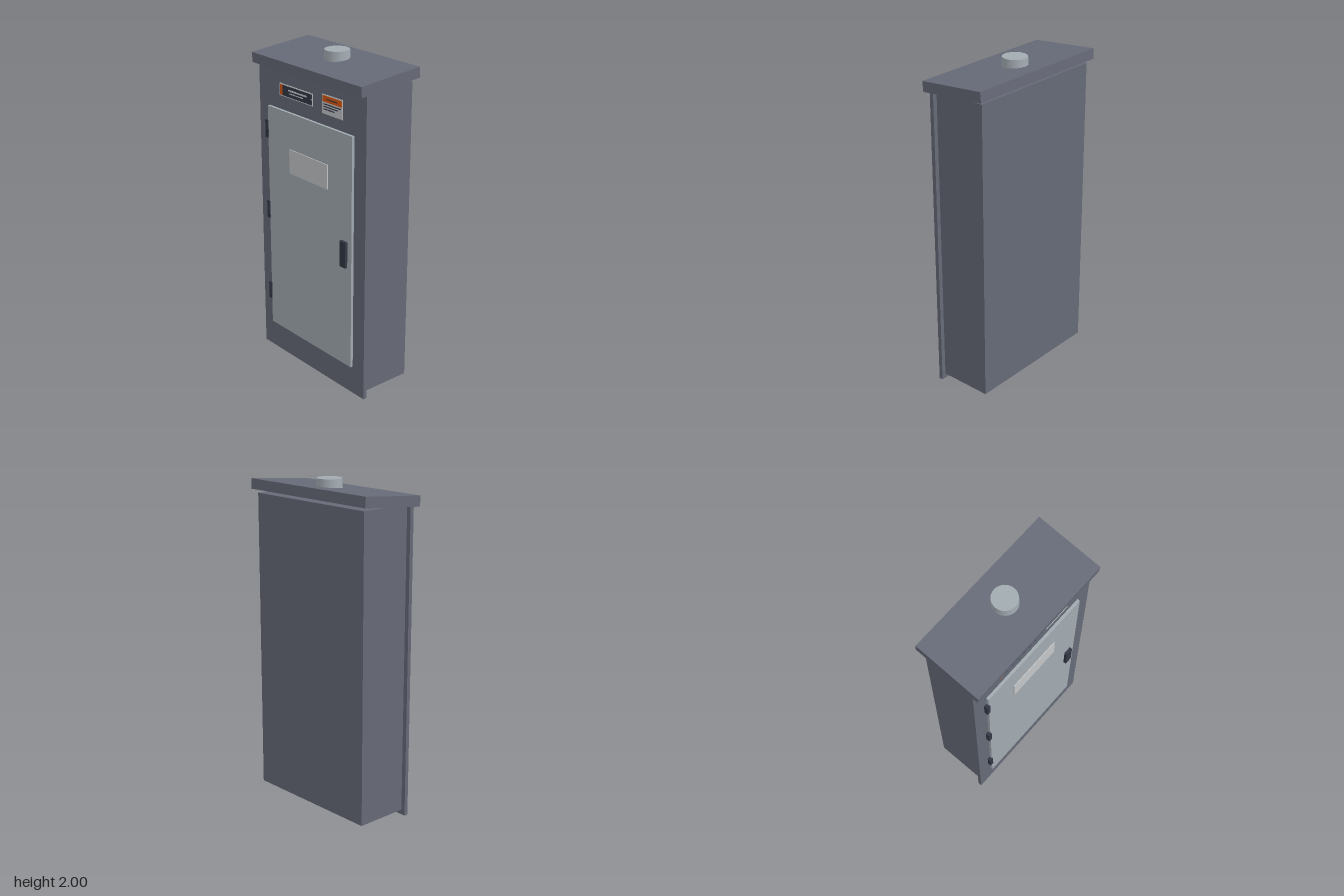
import * as THREE from 'three';

const mat = (name, color) => {
  const m = new THREE.MeshStandardMaterial({ color });
  m.name = name;
  return m;
};

export function createModel() {
  const model = new THREE.Group();
  model.name = 'electricalCabinet';

  const steel = mat('slate grey steel', 0x666a77);
  const panel = mat('pale grey panel', 0xa2abb1);
  const plate = mat('light plate', 0xc3c6c8);
  const dark = mat('dark hardware', 0x323845);
  const orange = mat('warning orange', 0xd8560f);
  const black = mat('knockout black', 0x26282e);

  const add = (name, geometry, material, x, y, z, parent = model) => {
    const mesh = new THREE.Mesh(geometry, material);
    mesh.name = name;
    mesh.position.set(x, y, z);
    parent.add(mesh);
    return mesh;
  };
  // Box given by its limits on each axis
  const box = (name, material, [x0, x1], [y0, y1], [z0, z1], parent) =>
    add(name, new THREE.BoxGeometry(x1 - x0, y1 - y0, z1 - z0), material,
      (x0 + x1) / 2, (y0 + y1) / 2, (z0 + z1) / 2, parent);

  // Enclosure and its overhanging front plate
  box('body', steel, [-0.453, 0.453], [0.03, 1.88], [-0.19, 0.145]);
  box('frontPlate', steel, [-0.48, 0.48], [0, 1.88], [0.143, 0.168]);

  // Sloping rain hood
  const roof = add('roof', new THREE.BoxGeometry(0.974, 0.062, 0.427), steel, 0, 1.915, 0);
  roof.rotation.x = THREE.MathUtils.degToRad(5);

  // Roof vent
  add('roofVent', new THREE.CylinderGeometry(0.074, 0.08, 0.1, 24), panel, 0, 1.95, -0.03);

  // Door with nameplate, handle and hinges
  box('door', panel, [-0.382, 0.382], [0.18, 1.62], [0.168, 0.185]);
  box('doorPlate', plate, [-0.175, 0.175], [1.25, 1.4], [0.185, 0.19]);
  box('handle', dark, [0.298, 0.347], [0.82, 0.98], [0.185, 0.203]);
  for (const y of [0.4, 0.955, 1.475]) {
    box('hinge', dark, [-0.402, -0.378], [y - 0.055, y + 0.055], [0.168, 0.192]);
  }

  // Identification label: pale border, dark field, orange end strip
  const idLabel = new THREE.Group();
  idLabel.name = 'identificationLabel';
  model.add(idLabel);
  box('labelBorder', plate, [-0.28, 0.026], [1.704, 1.778], [0.168, 0.172], idLabel);
  box('labelField', dark, [-0.25, 0.02], [1.71, 1.772], [0.172, 0.174], idLabel);
  box('labelStrip', orange, [-0.274, -0.25], [1.71, 1.772], [0.172, 0.174], idLabel);
  box('labelBar', plate, [-0.196, -0.028], [1.745, 1.755], [0.174, 0.175], idLabel);
  box('labelBar', plate, [-0.187, -0.06], [1.729, 1.735], [0.174, 0.175], idLabel);
  box('labelTick', plate, [0.01, 0.018], [1.74, 1.746], [0.174, 0.175], idLabel);

  // Warning label: orange header above dark bars
  const warning = new THREE.Group();
  warning.name = 'warningLabel';
  model.add(warning);
  box('warningBase', plate, [0.11, 0.285], [1.687, 1.8], [0.168, 0.172], warning);
  box('warningHeader', orange, [0.116, 0.279], [1.758, 1.794], [0.172, 0.174], warning);
  box('headerBar', dark, [0.153, 0.243], [1.773, 1.779], [0.174, 0.175], warning);
  [0.272, 0.247, 0.217].forEach((right, i) => {
    const y = 1.745 - i * 0.0145;
    box('warningBar', dark, [0.126, right], [y - 0.003, y + 0.003], [0.172, 0.174], warning);
  });

  // Cable knockouts under the body
  for (const x of [-0.264, -0.088, 0.088, 0.264]) {
    add('knockout', new THREE.CylinderGeometry(0.036, 0.036, 0.008, 20), black, x, 0.028, -0.025);
  }

  return model;
}
